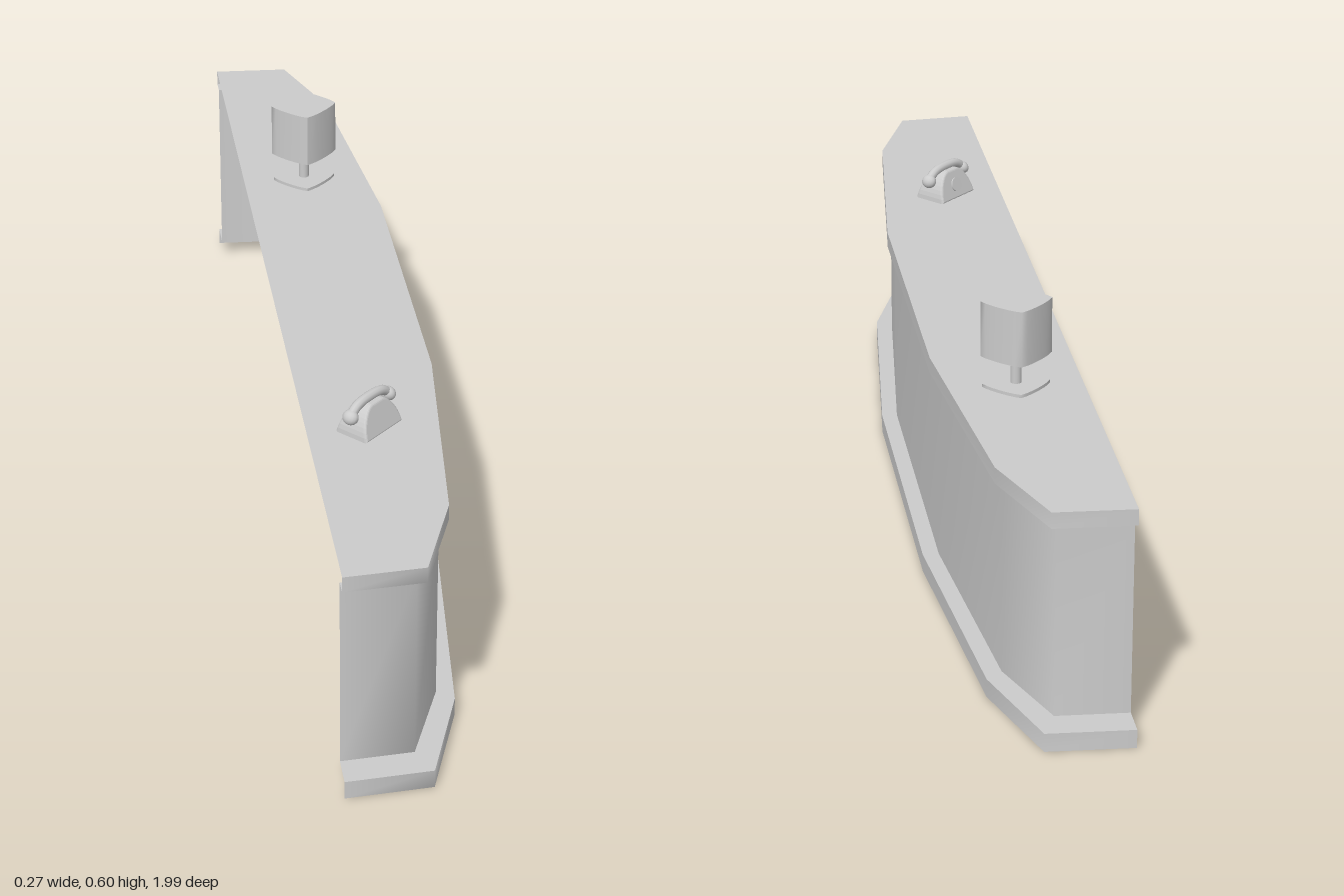
import * as THREE from 'three';

const mat = new THREE.MeshStandardMaterial({ color: 0xcccccc, side: THREE.DoubleSide });

function add(parent, name, geo, x = 0, y = 0, z = 0) {
  const m = new THREE.Mesh(geo, mat);
  m.name = name;
  m.position.set(x, y, z);
  parent.add(m);
  return m;
}

// Half of the bowed plan outline: x, z, and the shift in x, z per inset step
const half = [
  [-0.137, 0.997, 0, -0.029],
  [0.02, 0.987, -0.013, -0.028],
  [0.088, 0.79, -0.015, -0.012],
  [0.135, 0.31, -0.015, 0],
];
const BACK = -0.137;

function outline(inset) {
  const pts = half.map(([x, z, dx, dz]) => [x + dx * inset, z + dz * inset]);
  return [...pts, ...pts.slice().reverse().map(([x, z]) => [x, -z])];
}

// Strip between a lower and an upper outline
function strip(lower, y0, upper, y1) {
  const pos = [], index = [];
  lower.forEach(([x, z], i) => {
    pos.push(x, y0, z, upper[i][0], y1, upper[i][1]);
    if (i) {
      const a = 2 * i - 2;
      index.push(a, a + 2, a + 3, a, a + 3, a + 1);
    }
  });
  const g = new THREE.BufferGeometry();
  g.setAttribute('position', new THREE.Float32BufferAttribute(pos, 3));
  g.setIndex(index);
  g.computeVertexNormals();
  return g;
}

// Prism with a soft diamond section
function diamond(radius, height) {
  const g = new THREE.CylinderGeometry(radius, radius, height, 32);
  const p = g.attributes.position, e = 1.2;
  for (let i = 0; i < p.count; i++) {
    const x = p.getX(i) / radius, z = p.getZ(i) / radius;
    const r = Math.hypot(x, z);
    if (r < 0.5) continue;
    const k = radius / Math.pow(Math.abs(x) ** e + Math.abs(z) ** e, 1 / e);
    p.setX(i, x * k);
    p.setZ(i, z * k * 0.95);
  }
  g.computeVertexNormals();
  return g;
}

function makeCounter() {
  const g = new THREE.Group();
  g.name = 'counter';
  const base = outline(0), top = outline(1), wall = outline(2);
  add(g, 'plinthBand', strip(base, 0, base, 0.035));
  add(g, 'plinthLedge', strip(base, 0.035, wall, 0.035));
  add(g, 'frontWall', strip(wall, 0.035, wall, 0.405));
  add(g, 'topOverhang', strip(wall, 0.405, top, 0.405));
  add(g, 'topEdge', strip(top, 0.405, top, 0.435));
  add(g, 'counterTop', strip(top, 0.435, top.map(([, z]) => [BACK, z]), 0.435));
  return g;
}

function makeLamp() {
  const g = new THREE.Group();
  g.name = 'lamp';
  add(g, 'lampFoot', diamond(0.061, 0.006), 0, 0.003);
  add(g, 'lampStem', new THREE.CylinderGeometry(0.01, 0.01, 0.06, 16), 0, 0.035);
  add(g, 'lampShade', diamond(0.064, 0.105), 0, 0.1125);
  g.position.set(-0.016, 0.435, -0.45);
  return g;
}

function makePhone() {
  const g = new THREE.Group();
  g.name = 'telephone';

  // Domed body, thinner towards the top
  const s = new THREE.Shape();
  s.moveTo(-0.051, 0);
  s.lineTo(0.051, 0);
  s.bezierCurveTo(0.051, 0.03, 0.028, 0.057, 0.014, 0.057);
  s.lineTo(-0.014, 0.057);
  s.bezierCurveTo(-0.028, 0.057, -0.051, 0.03, -0.051, 0);
  const body = new THREE.ExtrudeGeometry(s, {
    depth: 0.06, curveSegments: 10, bevelThickness: 0.006, bevelSize: 0.004, bevelOffset: -0.004, bevelSegments: 3,
  });
  body.translate(0, 0, -0.03);
  const p = body.attributes.position;
  for (let i = 0; i < p.count; i++) p.setZ(i, p.getZ(i) * (1 - 9 * p.getY(i)));
  body.computeVertexNormals();
  add(g, 'phoneBody', body);

  const dial = add(g, 'phoneDial', new THREE.CylinderGeometry(0.014, 0.014, 0.006, 20), 0, 0.027, 0.027);
  dial.rotation.x = Math.PI / 2 - 0.3;

  // Arched handset with swollen ends
  const arc = new THREE.CatmullRomCurve3([
    [-0.054, 0.045], [-0.034, 0.058], [0, 0.062], [0.034, 0.058], [0.054, 0.045],
  ].map(([x, y]) => new THREE.Vector3(x, y, 0)));
  add(g, 'handsetGrip', new THREE.TubeGeometry(arc, 24, 0.009, 10));
  for (const side of [-1, 1]) {
    const end = add(g, 'handsetEnd', new THREE.SphereGeometry(0.014, 16, 10), side * 0.053, 0.043, 0);
    end.rotation.z = side * 0.5;
    end.scale.set(0.9, 1, 1.1);
  }
  g.position.set(-0.024, 0.435, 0.507);
  g.rotation.y = -Math.PI * 0.76;
  return g;
}

export function createModel() {
  const model = new THREE.Group();
  model.name = 'receptionDesk';
  model.add(makeCounter(), makeLamp(), makePhone());
  return model;
}
